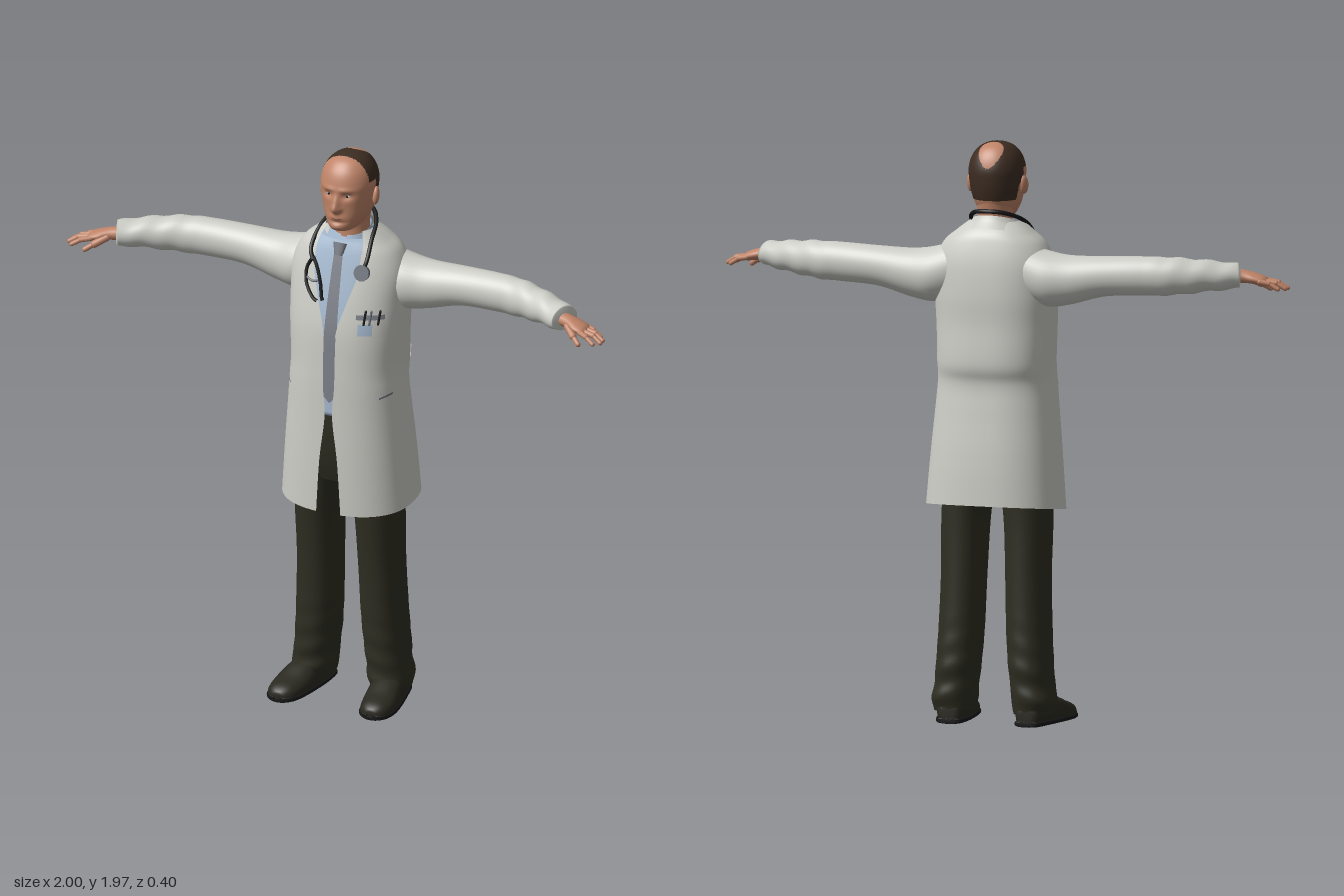
import * as THREE from 'three';
import { ParametricGeometry } from 'three/addons/geometries/ParametricGeometry.js';

const V = (x, y, z) => new THREE.Vector3(x, y, z);
const mat = (name, color, side = THREE.FrontSide) => Object.assign(new THREE.MeshStandardMaterial({ color, side }), { name });
const AXES = { x: [2, 0, 1], y: [0, 1, 2], z: [1, 2, 0] };

// Smooth interpolation through rows of numbers, t from 0 to 1
function rowAt(keys, t) {
  const f = t * (keys.length - 1), i = Math.min(Math.floor(f), keys.length - 2), k = f - i;
  const at = (j) => keys[Math.max(0, Math.min(keys.length - 1, j))];
  return keys[i].map((b, c) => {
    const a = at(i - 1)[c], d = at(i + 1)[c], e = at(i + 2)[c];
    return b + 0.5 * k * (d - a + k * (2 * a - 5 * b + 4 * d - e + k * (3 * (b - d) + e - a)));
  });
}

// Skin over rounded cross-sections [position, centre1, centre2, radius1, radius2, halfGap]
function loft(keys, axis, { n = 2, seg = 36, rows = 40, open = false, warp } = {}) {
  const [e1, ea, e2] = AXES[axis], pos = [], idx = [], cols = open ? seg + 1 : seg;
  const push = (a, b, c) => {
    const p = [0, 0, 0];
    p[ea] = a; p[e1] = b; p[e2] = c;
    const v = V(...p);
    if (warp) warp(v);
    pos.push(v.x, v.y, v.z);
  };
  const bend = (s) => Math.sign(s) * Math.abs(s) ** (2 / n);
  for (let j = 0; j <= rows; j++) {
    const [s, c1, c2, r1, r2, w = 0] = rowAt(keys, j / rows);
    const start = open ? Math.asin(Math.min(1, (Math.max(w, 0) / r1) ** (n / 2))) : 0;
    for (let i = 0; i < cols; i++) {
      const th = start + (2 * Math.PI - 2 * start) * i / seg;
      push(s, c1 + r1 * bend(Math.sin(th)), c2 + r2 * bend(Math.cos(th)));
    }
  }
  for (let j = 0; j < rows; j++) for (let i = 0; i < seg; i++) {
    const a = j * cols + i, b = j * cols + (i + 1) % cols;
    idx.push(a, b, b + cols, a, b + cols, a + cols);
  }
  if (!open) {
    const m = (rows + 1) * cols, top = rows * cols, z = keys[keys.length - 1];
    push(keys[0][0], keys[0][1], keys[0][2]);
    push(z[0], z[1], z[2]);
    for (let i = 0; i < seg; i++) {
      const k = (i + 1) % seg;
      idx.push(m, k, i, m + 1, top + i, top + k);
    }
  }
  const g = new THREE.BufferGeometry();
  g.setAttribute('position', new THREE.Float32BufferAttribute(pos, 3));
  g.setIndex(idx);
  g.computeVertexNormals();
  return g;
}

function mirrored(geo) {
  const g = geo.clone().scale(-1, 1, 1), a = g.index.array;
  for (let i = 0; i < a.length; i += 3) [a[i], a[i + 1]] = [a[i + 1], a[i]];
  return g;
}

const ring = (y, a, zf, zb, w = 0) => [y, 0, (zf + zb) / 2, a, (zf - zb) / 2, w];
const tube = (pts, r, n = 40) => new THREE.TubeGeometry(new THREE.CatmullRomCurve3(pts), n, r, 8);
const ball = (r, sx, sy, sz, p) => new THREE.SphereGeometry(r, 20, 14).scale(sx, sy, sz).translate(p.x, p.y, p.z);
function limb(a, b, r) {
  const d = b.clone().sub(a), q = new THREE.Quaternion().setFromUnitVectors(V(0, 1, 0), d.clone().normalize());
  return new THREE.CapsuleGeometry(r, d.length(), 4, 10).applyQuaternion(q).translate(...a.clone().add(b).multiplyScalar(0.5).toArray());
}

// Coat body: height, half width, front, back, half opening
const COAT_N = 2.4;
const COAT = [
  ring(0.71, 0.235, 0.165, -0.2, 0.045), ring(0.9, 0.222, 0.165, -0.19, 0.033), ring(1.06, 0.208, 0.163, -0.172, 0.014),
  ring(1.16, 0.2, 0.162, -0.163, 0.02), ring(1.23, 0.198, 0.16, -0.178, 0.022), ring(1.36, 0.203, 0.153, -0.17, 0.024),
  ring(1.46, 0.207, 0.135, -0.168, 0.05), ring(1.56, 0.205, 0.11, -0.158, 0.08), ring(1.63, 0.175, 0.09, -0.142, 0.085),
  ring(1.67, 0.13, 0.075, -0.125, 0.08), ring(1.705, 0.085, 0.055, -0.09, 0.065),
];
function coatAt(y) {
  let lo = 0, hi = 1;
  for (let i = 0; i < 30; i++) {
    const m = (lo + hi) / 2;
    if (rowAt(COAT, m)[0] < y) lo = m; else hi = m;
  }
  return rowAt(COAT, lo);
}
// Point lying on the coat front (s = 1) or back (s = -1)
function onCoat(x, y, off, s = 1) {
  const [, , c, a, r] = coatAt(y), q = Math.min(1, Math.abs(x / a));
  return V(x, y, c + s * (r * (1 - q ** COAT_N) ** (1 / COAT_N) + off));
}
const patch = (f, nu = 12, nv = 24) => new ParametricGeometry((u, v, t) => t.copy(f(u, v)), nu, nv);
const plate = (x0, x1, y0, y1, off) => patch((u, v) => onCoat(x0 + (x1 - x0) * u, y0 + (y1 - y0) * v, off), 8, 6);

export function createModel() {
  const root = new THREE.Group();
  root.name = 'physician';
  const D = THREE.DoubleSide;
  const skin = mat('skin', 0xbf8468), hair = mat('hair', 0x3d2d22), coat = mat('coat', 0xcdcdc7, D), shirt = mat('shirt', 0xa6bad0, D),
    tie = mat('tie', 0x7e818a, D), trousers = mat('trousers', 0x2e2e22), shoe = mat('shoeLeather', 0x2a2920),
    black = mat('black', 0x171717), metal = mat('metal', 0x6c7279, D), lip = mat('lips', 0x995f4d);
  const add = (name, geo, m) => {
    const mesh = new THREE.Mesh(geo, m);
    mesh.name = name;
    root.add(mesh);
  };
  const pair = (name, geo, m) => { add('left' + name, geo, m); add('right' + name, mirrored(geo), m); };

  // Head with sculpted face
  const bump = (x, y, cx, cy, sx, sy) => Math.exp(-(((x - cx) / sx) ** 2) - ((y - cy) / sy) ** 2);
  const head = loft([
    ring(1.712, 0.025, 0.08, 0.0), ring(1.718, 0.045, 0.096, -0.04), ring(1.735, 0.06, 0.103, -0.075), ring(1.765, 0.076, 0.102, -0.092),
    ring(1.8, 0.086, 0.101, -0.103), ring(1.84, 0.092, 0.103, -0.11), ring(1.88, 0.094, 0.1, -0.111), ring(1.92, 0.083, 0.086, -0.099),
    ring(1.95, 0.06, 0.06, -0.076), ring(1.965, 0.031, 0.026, -0.046), ring(1.97, 0.003, -0.007, -0.013),
  ], 'y', {
    n: 2.15, seg: 96, rows: 90, warp: (v) => {
      if (v.z < 0.03) return;
      const x = Math.abs(v.x), y = v.y;
      v.z += 0.024 * bump(x, y, 0, 1.802, 0.012, 0.02) + 0.01 * bump(x, y, 0, 1.83, 0.01, 0.02) + 0.006 * bump(x, y, 0.013, 1.798, 0.008, 0.009)
        - 0.01 * bump(x, y, 0.034, 1.845, 0.018, 0.012) + 0.004 * bump(x, y, 0.03, 1.867, 0.03, 0.008)
        + 0.005 * bump(x, y, 0, 1.766, 0.025, 0.01) - 0.004 * bump(x, y, 0, 1.75, 0.03, 0.006) + 0.004 * bump(x, y, 0, 1.733, 0.02, 0.01);
    },
  });
  // Hair surrounds a bald crown and a high forehead
  const faces = [[], []], P = head.attributes.position, I = head.index.array;
  for (let i = 0; i < I.length; i += 3) {
    const t = [I[i], I[i + 1], I[i + 2]], mid = V(0, 0, 0);
    t.forEach((k) => mid.add(V(P.getX(k), P.getY(k), P.getZ(k)).divideScalar(3)));
    const { x, y, z } = mid, front = y > 1.885 ? 0.03 : y > 1.83 ? -0.01 : -0.035;
    const crown = y > 1.88 && (x / 0.042) ** 2 + ((z + 0.07) / 0.04) ** 2 < 1;
    faces[y > 1.775 && z < front && !crown ? 1 : 0].push(...t);
  }
  head.setIndex(faces.flat());
  head.addGroup(0, faces[0].length, 0);
  head.addGroup(faces[0].length, faces[1].length, 1);
  add('head', head, [skin, hair]);
  add('neck', loft([ring(1.62, 0.062, 0.035, -0.08), ring(1.7, 0.058, 0.03, -0.082), ring(1.78, 0.064, 0.04, -0.096)], 'y'), skin);
  pair('Ear', ball(1, 0.012, 0.032, 0.019, V(0, 0, 0)).rotateY(0.35).rotateX(-0.15).translate(0.095, 1.825, -0.008), skin);
  pair('Eye', ball(0.011, 1.1, 0.5, 0.8, V(0.034, 1.845, 0.081)), shirt);
  pair('Pupil', ball(0.005, 0.9, 0.9, 0.5, V(0.034, 1.845, 0.0885)), black);
  pair('Brow', tube([V(0.016, 1.862, 0.1), V(0.034, 1.866, 0.095), V(0.053, 1.861, 0.083)], 0.0025, 12), hair);
  add('mouth', tube([V(-0.021, 1.764, 0.098), V(0, 1.766, 0.106), V(0.021, 1.764, 0.098)], 0.0035, 14), lip);

  // Shirt and tie
  add('shirt', loft(COAT.slice(2, 10).map(([y, , c, a, r]) => [y, 0, c, a - 0.02, r - 0.016]), 'y', { n: COAT_N }), shirt);
  add('shirtCollar', loft([ring(1.645, 0.088, 0.07, -0.09, 0.03), ring(1.675, 0.074, 0.052, -0.085, 0.015), ring(1.7, 0.066, 0.042, -0.086, 0.01)],
    'y', { open: true, rows: 10, warp: (v) => { v.y -= 0.3 * (v.z + 0.02); } }), shirt);
  add('tie', patch((u, v) => {
    const x = (u * 2 - 1) * (0.03 - 0.014 * v), y = 1.11 + 0.53 * v + Math.abs(u * 2 - 1) * 0.03 * (1 - v);
    return onCoat(x, y, -0.006);
  }), tie);
  add('tieKnot', new THREE.CylinderGeometry(0.025, 0.015, 0.042, 10).scale(1, 1, 0.55).rotateX(-0.35).translate(0, 1.643, 0.078), tie);

  // Coat body, collar, lapels and back belt
  add('coatBody', loft(COAT, 'y', {
    n: COAT_N, open: true, seg: 72, rows: 80,
    warp: (v) => { v.y += Math.max(0, 0.9 - v.y) / 0.19 * 0.045 * (0.165 - v.z) / 0.365; },
  }), coat);
  add('coatCollar', loft([ring(1.65, 0.118, 0.08, -0.122, 0.085), ring(1.68, 0.092, 0.062, -0.1, 0.07), ring(1.702, 0.078, 0.052, -0.09, 0.062)],
    'y', { open: true, rows: 10, warp: (v) => { v.y -= 0.35 * (v.z + 0.02); } }), coat);
  pair('Lapel', patch((u, v) => {
    const y = 1.35 + 0.29 * v, [, , , a, , w] = coatAt(y);
    const wide = 0.065 * Math.sin(Math.min(1, v * 1.25) * Math.PI / 2) * (v > 0.86 ? 0.7 : 1);
    return onCoat(Math.min(w + u * wide, a * 0.92), y, 0.007);
  }), coat);
  add('backBelt', patch((u, v) => {
    const x = (u * 2 - 1) * 0.18;
    return onCoat(x, 1.185 + 0.045 * v + 0.9 * x * x, 0.007, -1);
  }, 30, 4), coat);

  // Pockets and pens
  add('chestPocketLining', plate(0.09, 0.175, 1.365, 1.44, 0.004), tie);
  add('chestPocket', plate(0.088, 0.177, 1.36, 1.425, 0.008), coat);
  add('pocketCard', plate(0.1, 0.145, 1.37, 1.41, 0.0095), shirt);
  [0.118, 0.135, 0.16].forEach((x, i) => add('pen' + (i + 1), limb(onCoat(x, 1.41, 0.009), onCoat(x + 0.004, 1.455, 0.009), 0.004), i === 1 ? metal : black));
  pair('SidePocket', patch((u, v) => onCoat(0.165 + 0.028 * u, 1.135 + 0.006 * v + 0.01 * u, 0.003), 8, 2), metal);

  // Sleeves, keys: x, centre z, centre y, radius z, radius y
  pair('Sleeve', loft([
    [0.12, -0.05, 1.54, 0.085, 0.095], [0.2, -0.052, 1.517, 0.094, 0.094], [0.28, -0.055, 1.517, 0.08, 0.083], [0.4, -0.053, 1.534, 0.066, 0.068],
    [0.53, -0.043, 1.54, 0.06, 0.066], [0.62, -0.028, 1.541, 0.059, 0.064], [0.74, 0.018, 1.542, 0.055, 0.052], [0.835, 0.065, 1.54, 0.052, 0.041],
  ], 'x', {
    rows: 50, warp: (v) => {
      const end = Math.max(0, (v.x - 0.55) / 0.285);
      v.x -= 0.4 * end * (v.z - 0.065 * end);
      v.y += 0.003 * Math.sin(v.x * 70) * Math.min(1, end * 3);
    },
  }), coat);

  // Hands
  pair('Palm', loft([
    [0.8, 0.055, 1.54, 0.03, 0.025], [0.85, 0.07, 1.538, 0.029, 0.022], [0.885, 0.079, 1.532, 0.038, 0.019], [0.915, 0.083, 1.525, 0.037, 0.015], [0.927, 0.084, 1.522, 0.028, 0.009],
  ], 'x', { rows: 20, seg: 20 }), skin);
  [[0.052, 0.066, 0.97], [0.073, 0.09, 0.988], [0.093, 0.113, 0.99], [0.111, 0.134, 0.972]].forEach(([z0, z1, x], i) => {
    const a = V(0.91, 1.524, z0), b = V(x - 0.03, 1.518, z0 * 0.4 + z1 * 0.6), c = V(x, 1.5, z1);
    pair('Finger' + (i + 1), limb(a, b, 0.0095), skin);
    pair('Fingertip' + (i + 1), limb(b, c, 0.008), skin);
  });
  pair('ThumbBase', limb(V(0.86, 1.53, 0.095), V(0.893, 1.51, 0.122), 0.013), skin);
  pair('Thumb', limb(V(0.893, 1.51, 0.122), V(0.92, 1.492, 0.14), 0.009), skin);

  // Trousers
  add('trouserSeat', loft([ring(0.8, 0.16, 0.1, -0.12), ring(0.88, 0.178, 0.125, -0.135), ring(1.0, 0.178, 0.142, -0.14), ring(1.09, 0.18, 0.145, -0.14)], 'y', { n: 2.3 }), trousers);
  pair('TrouserLeg', loft([
    [0.04, 0.142, -0.032, 0.068, 0.08], [0.08, 0.141, -0.032, 0.075, 0.093], [0.13, 0.135, -0.03, 0.072, 0.092], [0.2, 0.128, -0.03, 0.073, 0.097],
    [0.32, 0.12, -0.024, 0.074, 0.097], [0.5, 0.114, -0.016, 0.074, 0.098], [0.7, 0.11, -0.005, 0.079, 0.106], [0.9, 0.092, 0, 0.086, 0.118],
  ], 'y', { rows: 60, n: 2.2, warp: (v) => { v.z += 0.004 * Math.sin(v.y * 75 + v.x * 20) * Math.max(0, 1 - v.y / 0.4); } }), trousers);

  // Shoes, keys: z, centre y, centre x, radius y, radius x
  const SHOE = [
    [-0.115, 0.035, 0.138, 0.025, 0.02], [-0.1, 0.037, 0.139, 0.045, 0.042], [-0.03, 0.04, 0.146, 0.065, 0.054], [0.05, 0.033, 0.158, 0.06, 0.06],
    [0.12, 0.023, 0.168, 0.045, 0.06], [0.17, 0.018, 0.172, 0.036, 0.05], [0.195, 0.015, 0.173, 0.024, 0.028], [0.2, 0.014, 0.173, 0.012, 0.01],
  ];
  pair('Shoe', loft(SHOE, 'z', { n: 2.3, warp: (v) => { v.y = Math.max(0.008, v.y); } }), shoe);
  pair('Sole', loft(SHOE.map(([z, , x, , r]) => [z, 0.01, x, 0.01, r + 0.004]), 'z', { n: 4 }), black);

  // Stethoscope
  const L = (x, y) => onCoat(x, y, 0.014);
  add('stethoscopeTube', tube([L(0.1, 1.59), L(0.108, 1.625), V(0.1, 1.68, 0.035), V(0.085, 1.715, -0.03), V(0.045, 1.738, -0.088), V(0, 1.742, -0.102),
    V(-0.045, 1.738, -0.088), V(-0.085, 1.715, -0.03), V(-0.1, 1.68, 0.035), L(-0.1, 1.63), L(-0.085, 1.6)], 0.0075, 90), black);
  add('chestPiece', new THREE.CylinderGeometry(0.028, 0.024, 0.02, 24).rotateX(1.3).translate(...L(0.1, 1.585).toArray()), metal);
  add('outerEarTube', tube([L(-0.085, 1.61), L(-0.105, 1.57), L(-0.1, 1.52), L(-0.065, 1.475), L(-0.05, 1.47)], 0.006), black);
  add('innerEarTube', tube([L(-0.085, 1.61), L(-0.065, 1.58), L(-0.045, 1.53), L(-0.035, 1.485), L(-0.03, 1.475)], 0.006), black);
  add('earTubeSpring', tube([L(-0.104, 1.54), L(-0.075, 1.532), L(-0.048, 1.54)], 0.004, 12), metal);
  return root;
}
